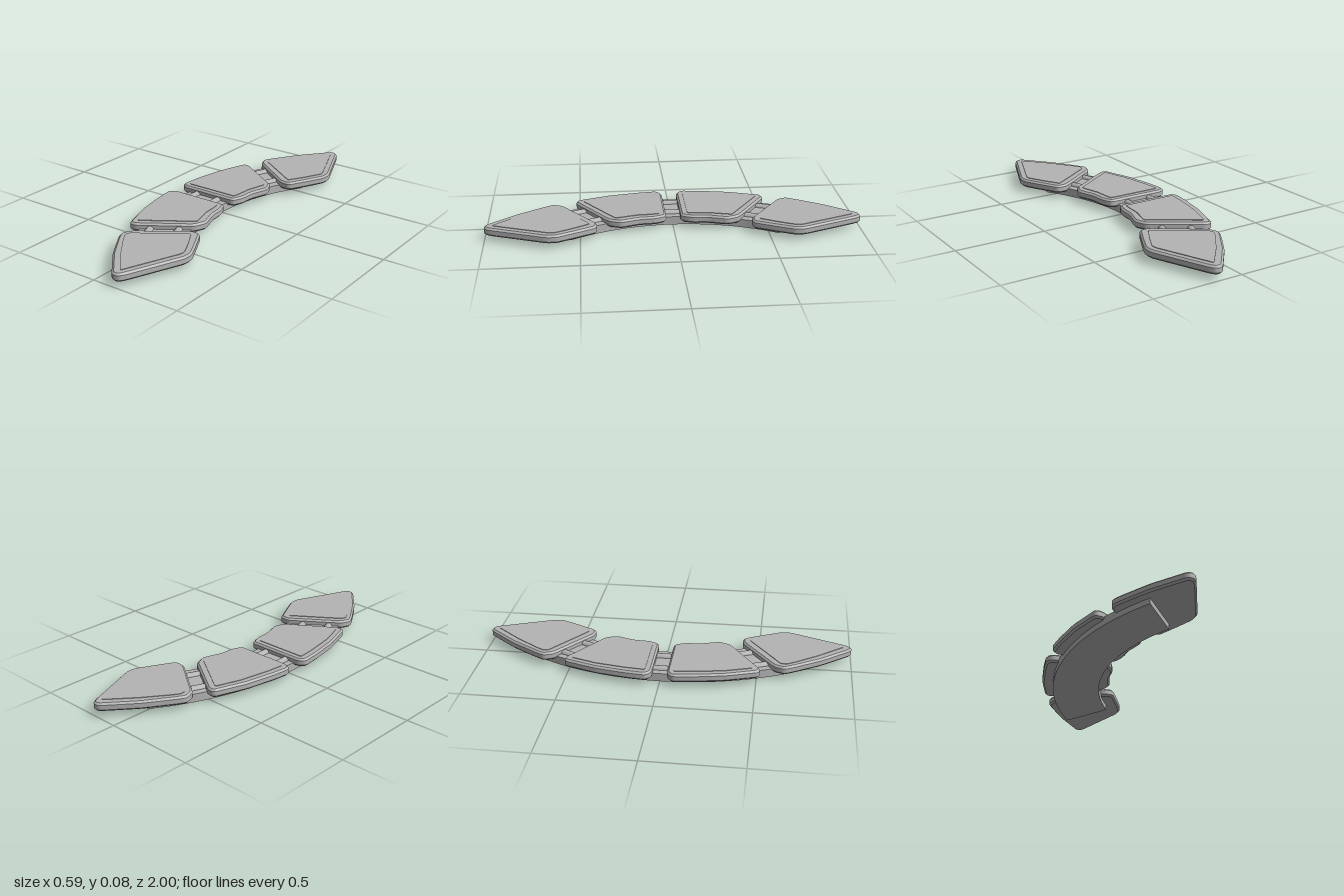
import * as THREE from 'three';
import { toCreasedNormals } from 'three/addons/utils/BufferGeometryUtils.js';

const grey = new THREE.MeshStandardMaterial({ color: 0xb4b4b4 });
grey.name = 'grey';

// Outlines as [x, z] on the back half; the front half is mirrored
const innerPlate = [[-0.195, -0.515], [-0.16, -0.52], [-0.125, -0.498], [0.1, -0.35], [0.127, -0.285],
  [0.092, -0.18], [0.088, -0.1], [0.062, -0.04], [-0.265, -0.04], [-0.298, -0.068], [-0.285, -0.18], [-0.255, -0.34]];
const innerPanel = [[-0.17, -0.482], [0.088, -0.312], [0.055, -0.19], [0.052, -0.13], [0.045, -0.075],
  [-0.258, -0.075], [-0.247, -0.18], [-0.218, -0.34]];
const outerPlate = [[0.115, -1], [0.15, -1], [0.17, -0.97], [0.292, -0.67], [0.292, -0.62], [0.245, -0.525],
  [0.185, -0.412], [0.13, -0.412], [-0.122, -0.59], [-0.144, -0.645], [-0.112, -0.7], [-0.02, -0.84]];
const outerPanel = [[0.135, -0.96], [0.256, -0.66], [0.256, -0.63], [0.21, -0.54], [0.155, -0.448],
  [-0.102, -0.625], [-0.104, -0.655], [-0.075, -0.7], [0.015, -0.822]];

// Closed shape with every corner softened by up to r
function softShape(points, side, r) {
  const p = points.map(([x, z]) => new THREE.Vector2(x, z * side));
  const n = p.length;
  const shape = new THREE.Shape();
  const towards = (a, b) => a.clone().lerp(b, Math.min(0.5, r / a.distanceTo(b)));
  for (let i = 0; i < n; i++) {
    const start = towards(p[i], p[(i + n - 1) % n]);
    const end = towards(p[i], p[(i + 1) % n]);
    if (i === 0) shape.moveTo(start.x, start.y);
    else shape.lineTo(start.x, start.y);
    shape.quadraticCurveTo(p[i].x, p[i].y, end.x, end.y);
  }
  shape.closePath();
  return shape;
}

// Lays a shape flat between heights y0 and y1 with a chamfered rim
function slab(name, shape, y0, y1, bevel = 0) {
  const geometry = new THREE.ExtrudeGeometry(shape, {
    depth: y1 - y0 - 2 * bevel, curveSegments: 4, bevelEnabled: bevel > 0,
    bevelThickness: bevel, bevelSize: bevel, bevelOffset: -bevel, bevelSegments: 1,
  });
  geometry.rotateX(-Math.PI / 2).translate(0, y0 + bevel, 0);
  const mesh = new THREE.Mesh(toCreasedNormals(geometry, 0.6), grey);
  mesh.name = name;
  return mesh;
}

// Points [x, z] on a circle arc about (cx, 0), bulging towards -x
function arc(cx, radius, zEnd, steps = 32) {
  const half = Math.asin(zEnd / radius);
  return Array.from({ length: steps + 1 }, (_, i) => {
    const a = half * (2 * i / steps - 1);
    return new THREE.Vector2(cx - radius * Math.cos(a), radius * Math.sin(a));
  });
}

export function createModel() {
  const model = new THREE.Group();
  model.name = 'curvedSegmentedPlate';

  // Curved backing strip
  const outline = [...arc(1.143, 1.378, 0.78), ...arc(1.02, 1, 0.55).reverse()];
  model.add(slab('backingStrip', new THREE.Shape(outline), 0, 0.045));

  // Two rods running under the plates
  for (const [cx, radius, zEnd] of [[1.14, 1.32, 0.62], [1.06, 1.1, 0.52]]) {
    const path = new THREE.CatmullRomCurve3(arc(cx, radius, zEnd, 16).map((v) => new THREE.Vector3(v.x, 0.042, v.y)));
    const rod = new THREE.Mesh(new THREE.TubeGeometry(path, 40, 0.02, 12), grey);
    rod.name = 'connectingRod';
    model.add(rod);
  }

  // Four chamfered plates with a slightly raised panel on each
  for (const side of [-1, 1]) {
    const end = side < 0 ? 'back' : 'front';
    model.add(
      slab(end + 'InnerPlate', softShape(innerPlate, side, 0.02), 0.03, 0.075, 0.01),
      slab(end + 'InnerPanel', softShape(innerPanel, side, 0.012), 0.07, 0.078),
      slab(end + 'OuterPlate', softShape(outerPlate, side, 0.02), 0.03, 0.075, 0.01),
      slab(end + 'OuterPanel', softShape(outerPanel, side, 0.012), 0.07, 0.078),
    );
  }
  return model;
}
